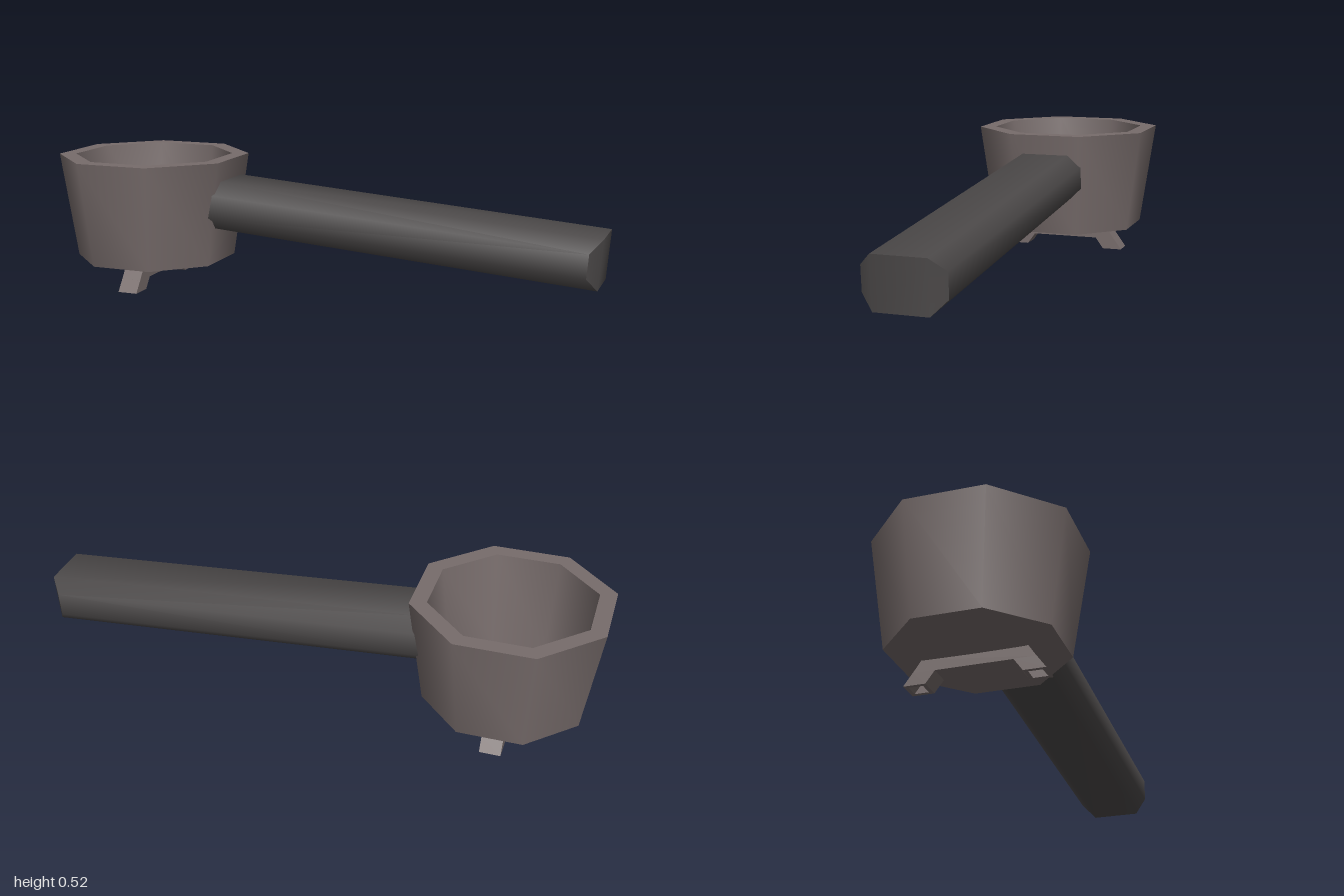
import * as THREE from 'three';
import { toCreasedNormals } from 'three/addons/utils/BufferGeometryUtils.js';
import { ConvexGeometry } from 'three/addons/geometries/ConvexGeometry.js';

const metal = new THREE.MeshStandardMaterial({ color: 0x776c6b });
metal.name = 'warm grey metal';
const grip = new THREE.MeshStandardMaterial({ color: 0x4c4949 });
grip.name = 'dark grip';

const CREASE = 0.88; // octagon sides blend, rims stay sharp

function part(name, geometry, material, parent) {
  const mesh = new THREE.Mesh(toCreasedNormals(geometry, CREASE), material);
  mesh.name = name;
  parent.add(mesh);
  return mesh;
}

function polygon(points) {
  return new THREE.Shape(points.map(([x, y]) => new THREE.Vector2(x, y)));
}

function square(h) {
  return [[-h, -h], [h, -h], [h, h], [-h, h]];
}

// Hollow eight-sided cup, from the underside over the rim to the inner floor
function cupGeometry() {
  const profile = [[0, 0.085], [0.19, 0.087], [0.317, 0.105], [0.38, 0.52],
    [0.314, 0.52], [0.262, 0.15], [0, 0.15]];
  return new THREE.LatheGeometry(
    profile.map(([r, y]) => new THREE.Vector2(r, y)), 8, Math.PI / 8);
}

// Bevelled bar whose far end is cut back at both sides
function handleGeometry() {
  const points = [];
  const length = 1.5;
  for (const sy of [-1, 1]) {
    for (const sz of [-1, 1]) {
      for (const [y, z, cut] of [[0.045, 0.146, 0.037], [0.094, 0.096, 0]]) {
        points.push(new THREE.Vector3(0, sy * y, sz * z));
        points.push(new THREE.Vector3(length - cut, sy * y, sz * z));
      }
    }
  }
  return new ConvexGeometry(points);
}

// Hollow square outlet leaning outwards towards the ground
function legGeometry(side) {
  const shape = polygon(square(0.04));
  shape.holes.push(new THREE.Path(polygon(square(0.026)).getPoints()));
  const geometry = new THREE.ExtrudeGeometry(shape, { depth: 0.046, bevelEnabled: false });
  geometry.rotateX(-Math.PI / 2);
  const p = geometry.attributes.position;
  for (let i = 0; i < p.count; i++) {
    p.setX(i, p.getX(i) + side * (0.21 - 0.72 * p.getY(i)));
  }
  return geometry;
}

export function createModel() {
  const model = new THREE.Group();
  model.name = 'coffeeFilterHolder';

  // Everything is laid out along the handle, then turned as one
  const body = new THREE.Group();
  body.name = 'body';
  body.position.set(-0.622, 0, 0.312);
  body.rotation.y = Math.PI / 6;
  model.add(body);

  part('cup', cupGeometry(), metal, body);

  const handle = part('handle', handleGeometry(), grip, body);
  handle.position.set(0.31, 0.348, 0);
  handle.rotation.z = -0.075;

  // Twin spout across the handle
  const spout = new THREE.Group();
  spout.name = 'spout';
  spout.rotation.y = Math.PI / 2;
  body.add(spout);
  const bar = new THREE.ExtrudeGeometry(
    polygon([[-0.217, 0.045], [0.217, 0.045], [0.187, 0.09], [-0.187, 0.09]]),
    { depth: 0.08, bevelEnabled: false });
  bar.translate(0, 0, -0.04);
  part('spoutBar', bar, metal, spout);
  for (const side of [-1, 1]) {
    part(side < 0 ? 'spoutLegA' : 'spoutLegB', legGeometry(side), metal, spout);
  }

  return model;
}
